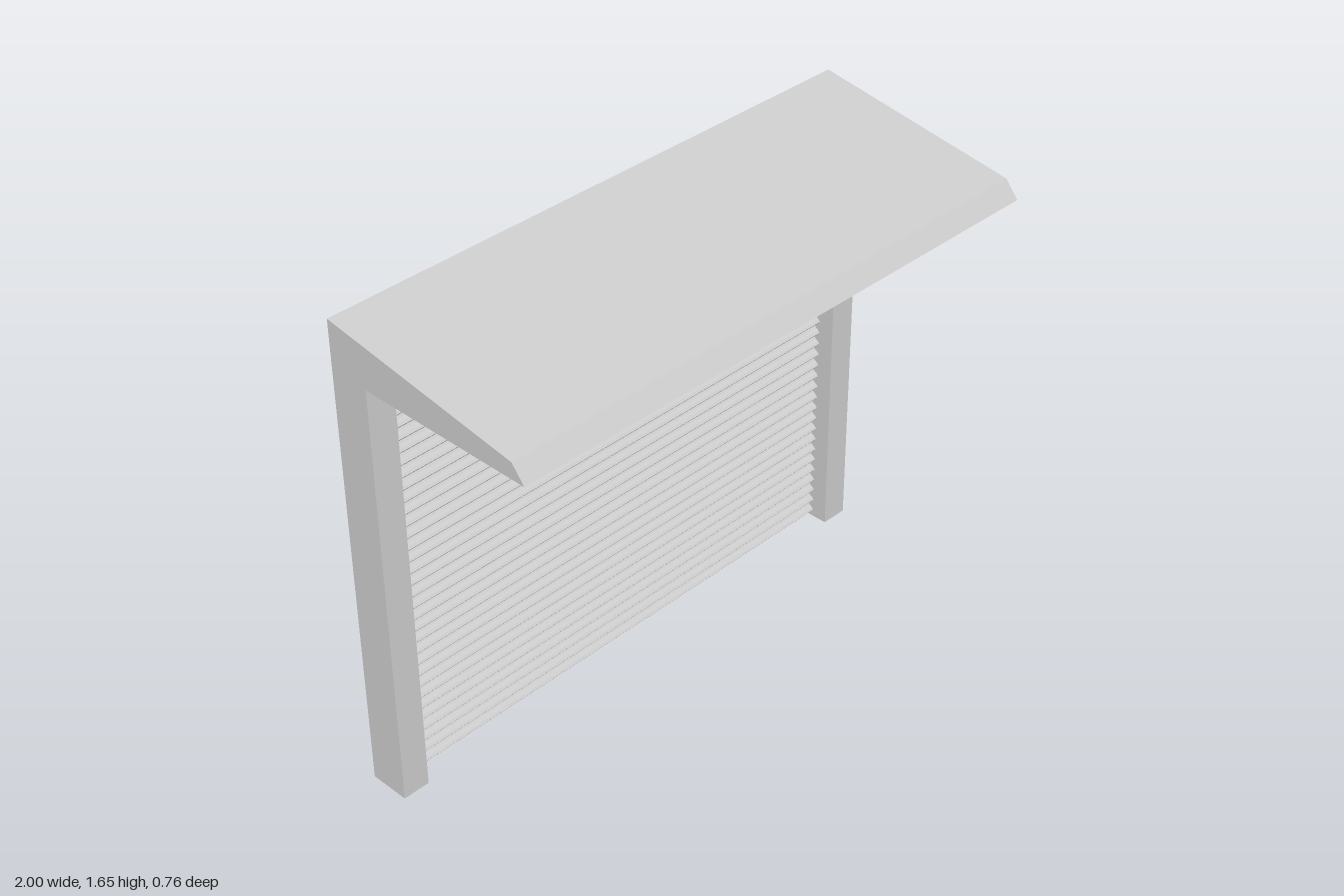
import * as THREE from 'three';

const BACK = -0.38, FRONT = -0.24, HALF = 1, OPENING = 0.905, HEAD = 1.465;

// Extrude a [z, y] outline along x, centred on x = 0
function extrudeAlongX(outline, width) {
  const shape = new THREE.Shape(outline.map(([z, y]) => new THREE.Vector2(-z, y)));
  const geometry = new THREE.ExtrudeGeometry(shape, { depth: width, bevelEnabled: false });
  geometry.translate(0, 0, -width / 2);
  geometry.rotateY(Math.PI / 2);
  return geometry;
}

export function createModel() {
  const group = new THREE.Group();
  const material = new THREE.MeshStandardMaterial({ color: 0xcccccc, flatShading: true });
  const add = (name, geometry) => {
    const mesh = new THREE.Mesh(geometry, material);
    mesh.name = name;
    group.add(mesh);
    return mesh;
  };

  // Side posts
  for (const [name, side] of [['leftPost', 1], ['rightPost', -1]]) {
    const post = add(name, new THREE.BoxGeometry(HALF - OPENING, HEAD, FRONT - BACK));
    post.position.set(side * (HALF + OPENING) / 2, HEAD / 2, (FRONT + BACK) / 2);
  }

  // Lintel and sloping canopy in one wedge-shaped profile
  add('canopy', extrudeAlongX([
    [BACK, HEAD], [FRONT, HEAD], [FRONT, 1.49], [0.38, 1.49], [0.335, 1.545], [BACK, 1.653],
  ], HALF * 2));

  // Corrugated roller shutter: a thin wave running up the opening
  const slats = 34, steps = 6, bottom = 0.005, middle = -0.31;
  const frontEdge = [], backEdge = [];
  for (let i = 0; i <= slats * steps; i++) {
    const y = bottom + (HEAD - bottom) * i / (slats * steps);
    const z = middle - 0.011 * Math.cos(i / steps * Math.PI * 2);
    frontEdge.push([z + 0.004, y]);
    backEdge.push([z - 0.004, y]);
  }
  add('shutter', extrudeAlongX([...frontEdge, ...backEdge.reverse()], OPENING * 2));

  return group;
}
